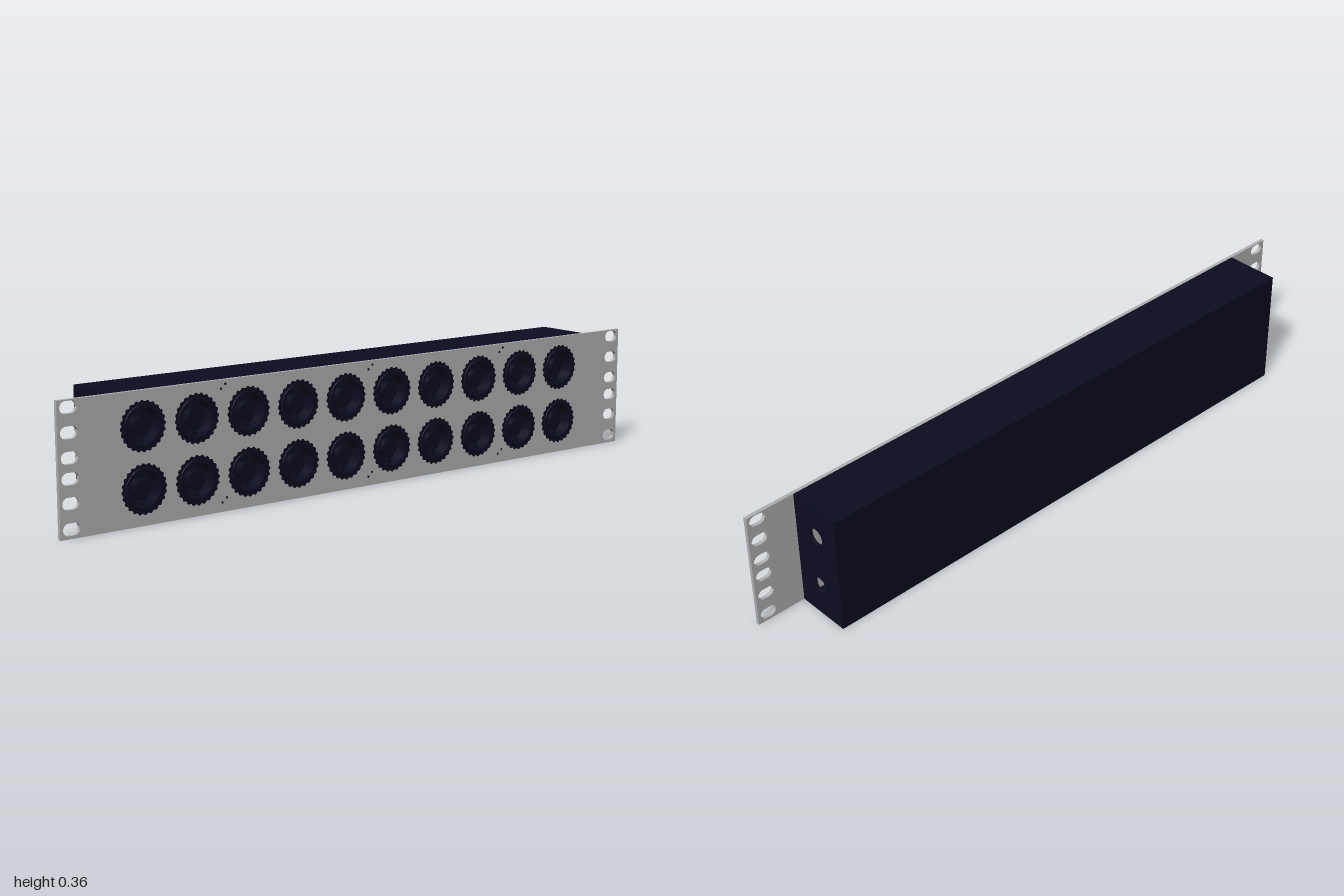
import * as THREE from 'three';
import { toCreasedNormals } from 'three/addons/utils/BufferGeometryUtils.js';

export function createModel() {
  const model = new THREE.Group();
  const grey = new THREE.MeshStandardMaterial({ color: 0xb0b0b2 });
  grey.name = 'panel grey';
  const navy = new THREE.MeshStandardMaterial({ color: 0x0c0c20 });
  navy.name = 'dark navy';

  function add(parent, name, geometry, material, x = 0, y = 0, z = 0) {
    const mesh = new THREE.Mesh(geometry, material);
    mesh.name = name;
    mesh.position.set(x, y, z);
    parent.add(mesh);
    return mesh;
  }
  function circle(x, y, r) {
    return new THREE.Path().absarc(x, y, r, 0, Math.PI * 2, true);
  }
  function rectangle(x0, y0, x1, y1) {
    return new THREE.Shape([[x0, y0], [x1, y0], [x1, y1], [x0, y1]].map(p => new THREE.Vector2(...p)));
  }
  function extrude(shape, depth) {
    const g = new THREE.ExtrudeGeometry(shape, { depth, bevelEnabled: false, curveSegments: 16 });
    return toCreasedNormals(g, 0.6);
  }

  const H = 0.36, rows = [0.098, 0.265];
  const columns = Array.from({ length: 10 }, (_, i) => -0.75 + i * 0.1658);

  // Front plate with rack slots and socket openings
  const plate = rectangle(-1, 0, 1, H);
  for (const side of [-1, 1]) {
    for (const y of [0.025, 0.092, 0.156, 0.21, 0.275, 0.34]) {
      const slot = new THREE.Path();
      slot.absarc(side * 0.967 + 0.008, y, 0.0165, Math.PI / 2, -Math.PI / 2, true);
      slot.absarc(side * 0.967 - 0.008, y, 0.0165, -Math.PI / 2, -Math.PI * 1.5, true);
      slot.closePath();
      plate.holes.push(slot);
    }
  }
  for (const x of columns) for (const y of rows) plate.holes.push(circle(x, y, 0.056));
  add(model, 'frontPanel', extrude(plate, 0.011), grey, 0, 0, 0.077);

  // Hollow case behind the plate
  const housing = new THREE.Group();
  housing.name = 'housing';
  model.add(housing);
  const t = 0.008, back = -0.09, front = 0.077, depth = front - back, midZ = (front + back) / 2;
  add(housing, 'backWall', new THREE.BoxGeometry(1.7 - 2 * t, H, t), navy, 0, H / 2, back + t / 2);
  for (const y of [t / 2, H - t / 2]) {
    add(housing, y < 0.1 ? 'bottomWall' : 'topWall', new THREE.BoxGeometry(1.7 - 2 * t, t, depth - t), navy, 0, y, midZ + t / 2);
  }
  // Side walls, each with two cable holes
  const wall = rectangle(-front, 0, -back, H);
  for (const y of rows) wall.holes.push(circle(0.007, y, 0.025));
  const wallGeometry = extrude(wall, t).rotateY(Math.PI / 2);
  add(housing, 'leftWall', wallGeometry, navy, 0.85 - t);
  add(housing, 'rightWall', wallGeometry, navy, -0.85);

  // Socket shapes shared by all twenty outlets
  const profile = [[0, 0.03], [0.056, 0.03], [0.056, 0.088], [0.058, 0.0885], [0.058, 0.0905],
    [0.057, 0.0915], [0.049, 0.0915], [0.046, 0.055], [0, 0.055]];
  const cup = toCreasedNormals(
    new THREE.LatheGeometry(profile.map(p => new THREE.Vector2(...p)), 40).rotateX(Math.PI / 2), 0.6);
  const teeth = new THREE.Shape(Array.from({ length: 96 }, (_, i) => {
    const a = i / 96 * Math.PI * 2, r = i % 4 < 2 ? 0.069 : 0.065;
    return new THREE.Vector2(r * Math.cos(a), r * Math.sin(a));
  }));
  teeth.holes.push(circle(0, 0, 0.056));
  const ring = new THREE.ExtrudeGeometry(teeth, { depth: 0.0012, bevelEnabled: false, curveSegments: 20 });
  const core = toCreasedNormals(new THREE.CylinderGeometry(0.022, 0.024, 0.022, 28).rotateX(Math.PI / 2), 0.6);
  const rib = new THREE.BoxGeometry(0.012, 0.01, 0.024);

  for (const x of columns) {
    for (const y of rows) {
      const socket = new THREE.Group();
      socket.name = 'socket';
      socket.position.set(x, y, 0);
      model.add(socket);
      add(socket, 'socketCup', cup, navy);
      add(socket, 'toothedRing', ring, navy, 0, 0, 0.0875);
      add(socket, 'socketCore', core, navy, 0, 0, 0.066);
      for (const s of [-1, 1]) add(socket, 'guideRib', rib, navy, 0, s * 0.041, 0.067);
    }
  }

  // Tiny paired marks along the plate edges
  const dot = new THREE.CylinderGeometry(0.0035, 0.0035, 0.001, 10).rotateX(Math.PI / 2);
  for (const x of [-0.5, 0, 0.5]) {
    for (const y of [0.032, 0.342]) {
      for (const s of [-1, 1]) add(model, 'panelMark', dot, navy, x + s * 0.007, y + s * 0.006, 0.0882);
    }
  }
  return model;
}
